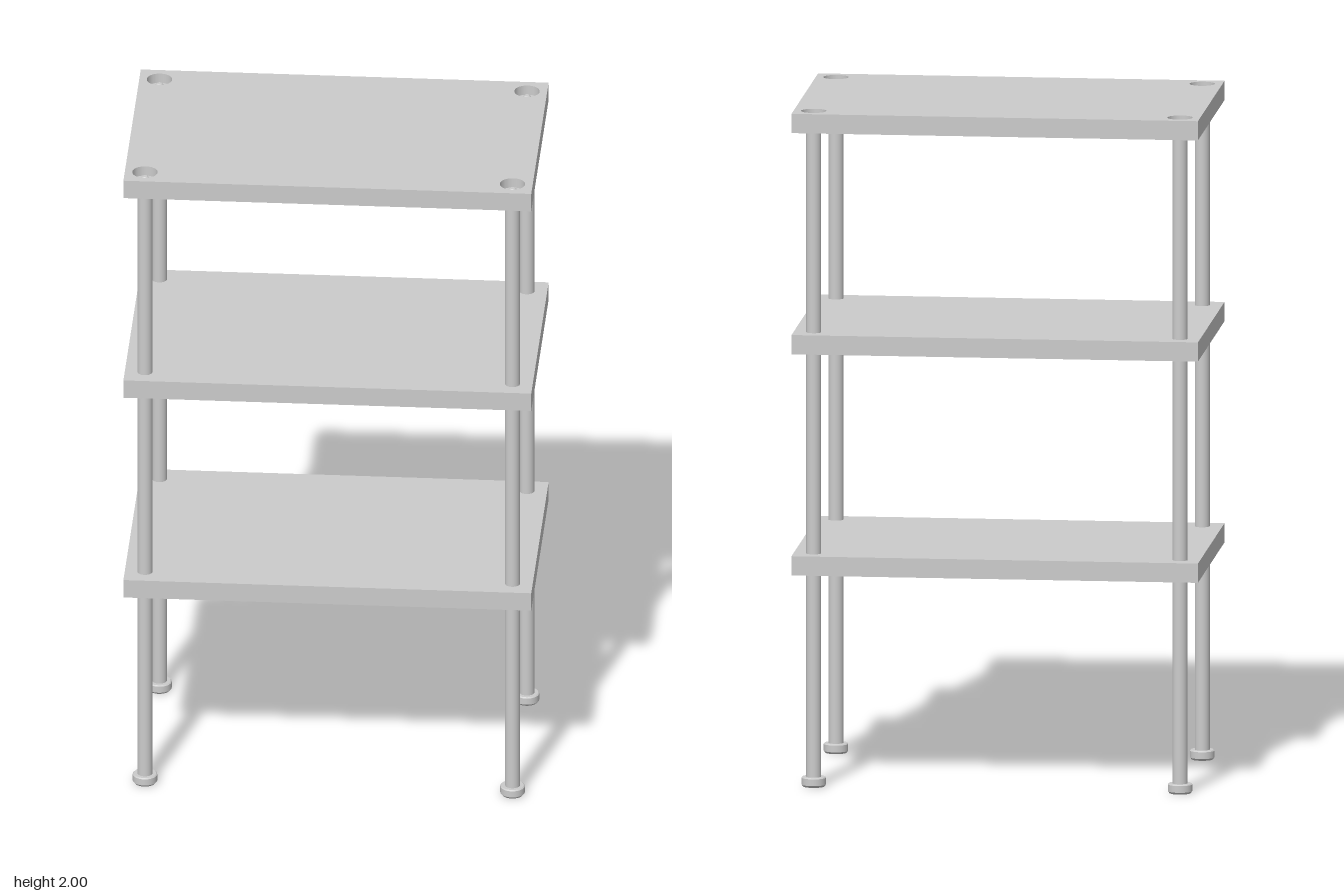
import * as THREE from 'three';

const W = 1.194, D = 0.715, T = 0.057; // shelf width, depth, thickness
const LEG_X = 0.538, LEG_Z = 0.298, LEG_R = 0.022;
const RECESS_R = 0.037, RECESS_DEPTH = 0.03;
const material = new THREE.MeshStandardMaterial({ color: 0xcccccc });

function part(parent, name, geometry, x = 0, y = 0, z = 0) {
  const mesh = new THREE.Mesh(geometry, material);
  mesh.name = name;
  mesh.position.set(x, y, z);
  parent.add(mesh);
  return mesh;
}

// Turned part; repeated points keep its edges sharp
function turned(points, segments = 32) {
  const sharp = [];
  for (let i = 0; i < points.length - 1; i++) sharp.push(points[i], points[i + 1]);
  return new THREE.LatheGeometry(sharp.map(([r, y]) => new THREE.Vector2(r, y)), segments);
}

export function createModel() {
  const model = new THREE.Group();
  model.name = 'shelfUnit';
  const corners = [[-1, -1], [1, -1], [1, 1], [-1, 1]].map(([sx, sz]) => [sx * LEG_X, sz * LEG_Z]);

  // Lower and middle shelves
  const shelf = new THREE.BoxGeometry(W, T, D);
  part(model, 'lowerShelf', shelf, 0, 0.69 - T / 2, 0);
  part(model, 'middleShelf', shelf, 0, 1.345 - T / 2, 0);

  // Top shelf, with a round recess over each leg
  const outline = new THREE.Shape();
  outline.moveTo(-W / 2, -D / 2).lineTo(W / 2, -D / 2).lineTo(W / 2, D / 2).lineTo(-W / 2, D / 2).closePath();
  for (const [x, z] of corners) {
    outline.holes.push(new THREE.Path().absarc(x, -z, RECESS_R, 0, Math.PI * 2, true));
  }
  const board = new THREE.ExtrudeGeometry(outline, { depth: T, bevelEnabled: false, curveSegments: 32 });
  board.rotateX(-Math.PI / 2);
  part(model, 'topShelf', board, 0, 2 - T, 0);

  // Leg tube, foot, recess floor and rod end
  const legTop = 2 - T;
  const tube = new THREE.CylinderGeometry(LEG_R, LEG_R, legTop - 0.02, 32);
  const foot = turned([[0, 0], [0.031, 0], [0.036, 0.006], [0.036, 0.026], [0.033, 0.029], [0, 0.029]]);
  const floorHeight = T - RECESS_DEPTH;
  const recessFloor = new THREE.CylinderGeometry(RECESS_R, RECESS_R, floorHeight, 32);
  const rodEnd = turned([[0.012, 0], [0.012, 0.012], [0.007, 0.017], [0, 0.017]], 24);

  for (const [x, z] of corners) {
    const leg = new THREE.Group();
    leg.name = 'leg';
    leg.position.set(x, 0, z);
    part(leg, 'legTube', tube, 0, (legTop + 0.02) / 2, 0);
    part(leg, 'foot', foot);
    part(leg, 'recessFloor', recessFloor, 0, legTop + floorHeight / 2, 0);
    part(leg, 'rodEnd', rodEnd, 0, legTop + floorHeight, 0);
    model.add(leg);
  }
  return model;
}
